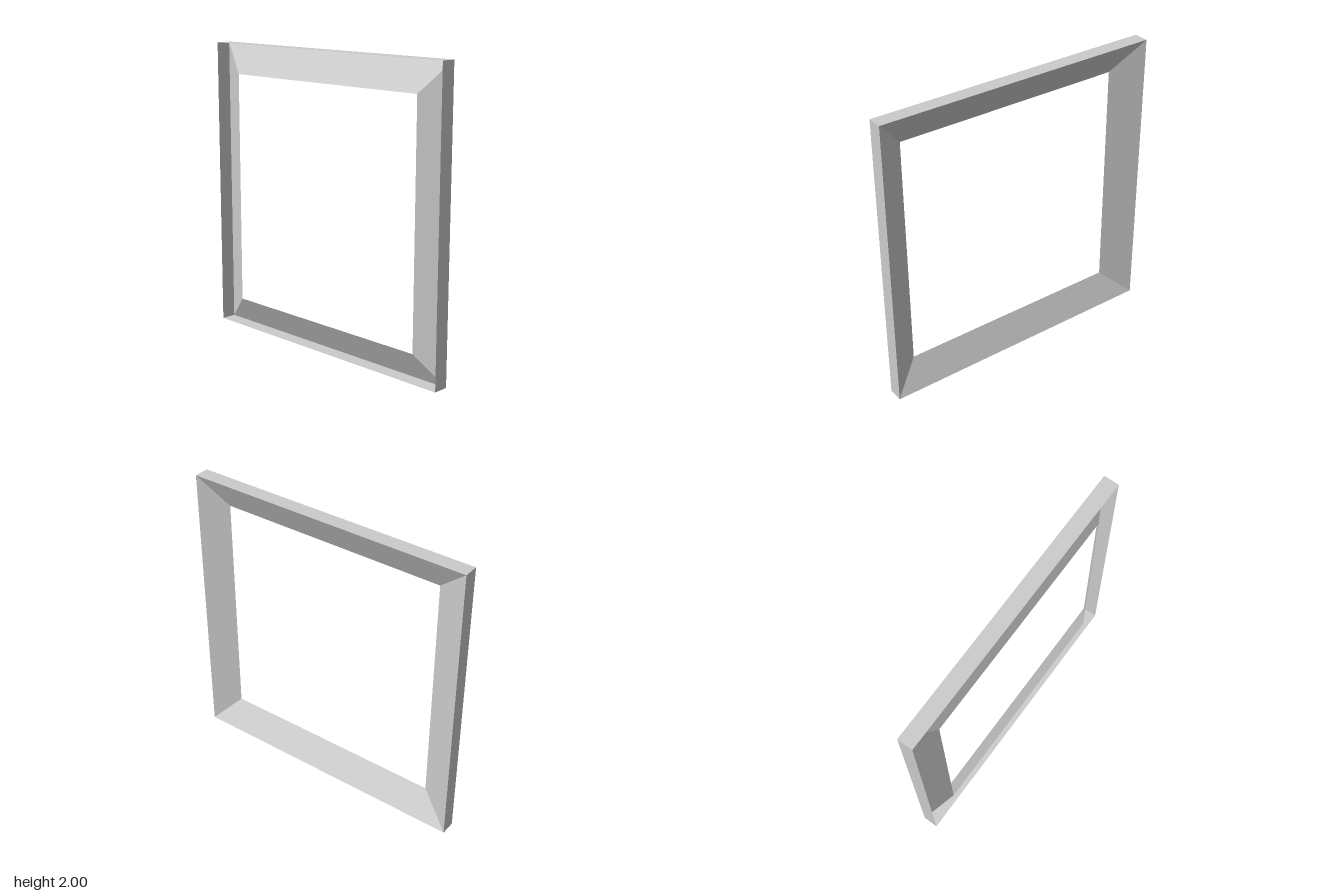
import * as THREE from 'three';

const DEPTH = 0.052; // half the frame's depth

// Four corners of a rectangle at depth z, counter-clockwise from the front
function ring(x0, x1, y0, y1, z) {
  return [[x0, y0, z], [x1, y0, z], [x1, y1, z], [x0, y1, z]];
}

// One flat quad joining side i of two rings
function strip(name, ringA, ringB, i, material) {
  const j = (i + 1) % 4;
  const [a, b, c, d] = [ringA[i], ringA[j], ringB[j], ringB[i]];
  const geometry = new THREE.BufferGeometry();
  geometry.setAttribute('position', new THREE.Float32BufferAttribute([a, b, c, a, c, d].flat(), 3));
  geometry.computeVertexNormals();
  const mesh = new THREE.Mesh(geometry, material);
  mesh.name = name;
  return mesh;
}

export function createModel() {
  const model = new THREE.Group();
  model.name = 'windowFrame';
  const material = new THREE.MeshStandardMaterial({
    color: 0xcccccc, flatShading: true, side: THREE.DoubleSide,
  });

  const frontOuter = ring(-1, 1, 0, 2, DEPTH);
  const backOuter = ring(-1, 1, 0, 2, -DEPTH);
  const inner = ring(-0.78, 0.815, 0.197, 1.795, DEPTH);

  // Each side: a thin outer wall and a mitred panel sloping from its back edge to the opening
  ['bottom', 'left', 'top', 'right'].forEach((side, i) => {
    const rail = new THREE.Group();
    rail.name = side + 'Rail';
    rail.add(strip(side + 'OuterWall', backOuter, frontOuter, i, material));
    rail.add(strip(side + 'SlopedPanel', backOuter, inner, i, material));
    model.add(rail);
  });
  return model;
}
